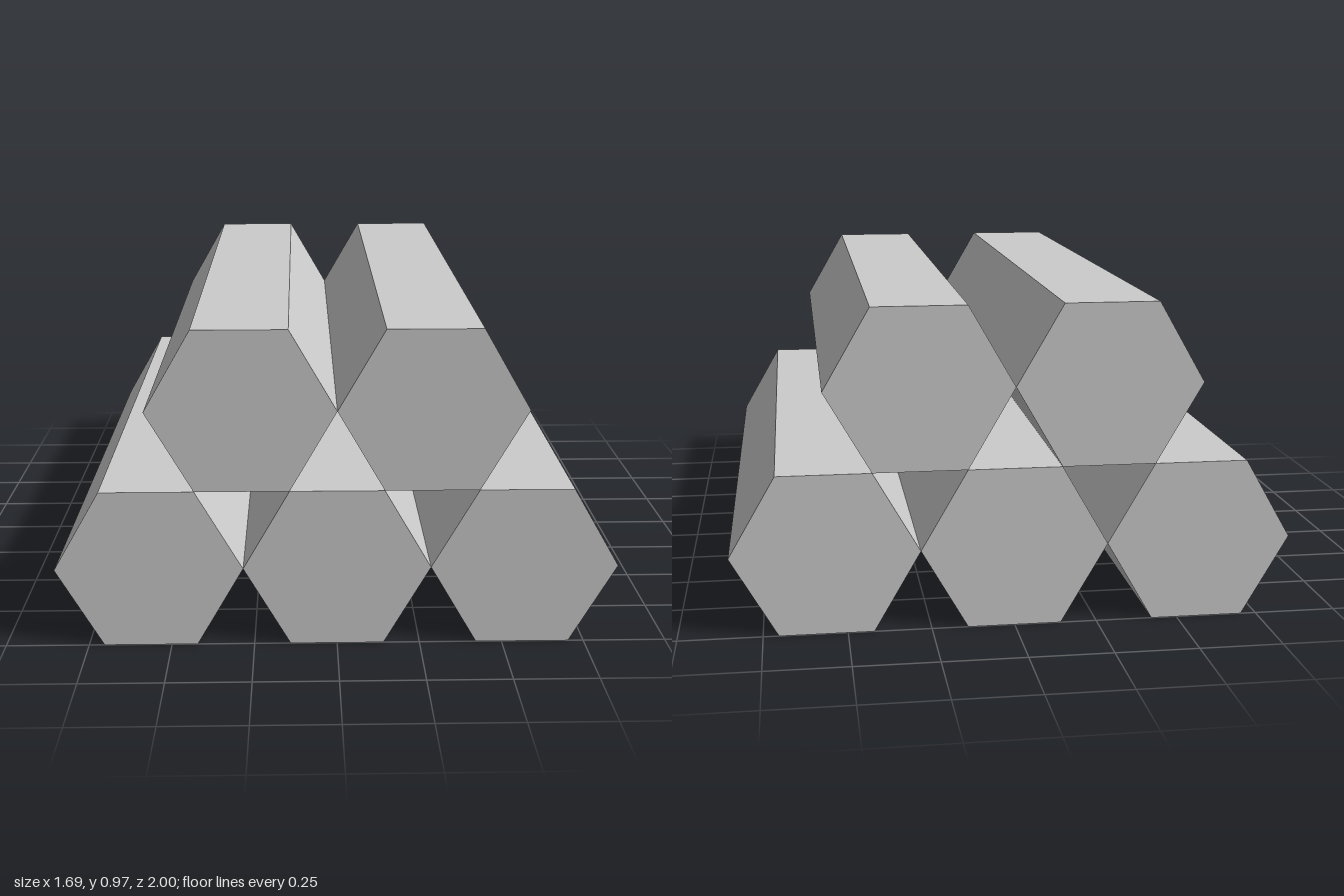
import * as THREE from 'three';

const RADIUS = 0.2813; // centre to corner
const APOTHEM = RADIUS * Math.sqrt(3) / 2; // centre to flat
const LENGTH = 2;

export function createModel() {
  const model = new THREE.Group();
  model.name = 'hexagonalBarStack';
  const material = new THREE.MeshStandardMaterial({ color: 0xcccccc, flatShading: true });

  // Hexagonal bar lying along z, flats up and down, corners to the sides
  const bar = new THREE.CylinderGeometry(RADIUS, RADIUS, LENGTH, 6);
  bar.rotateY(Math.PI / 2).rotateX(Math.PI / 2);

  // Rows of three and two, touching corner to corner
  [['lowerBar', 3], ['upperBar', 2]].forEach(([name, count], row) => {
    for (let i = 0; i < count; i++) {
      const mesh = new THREE.Mesh(bar, material);
      mesh.name = `${name}${i + 1}`;
      mesh.position.set((i - (count - 1) / 2) * 2 * RADIUS, (2 * row + 1) * APOTHEM, 0);
      model.add(mesh);
    }
  });
  return model;
}
